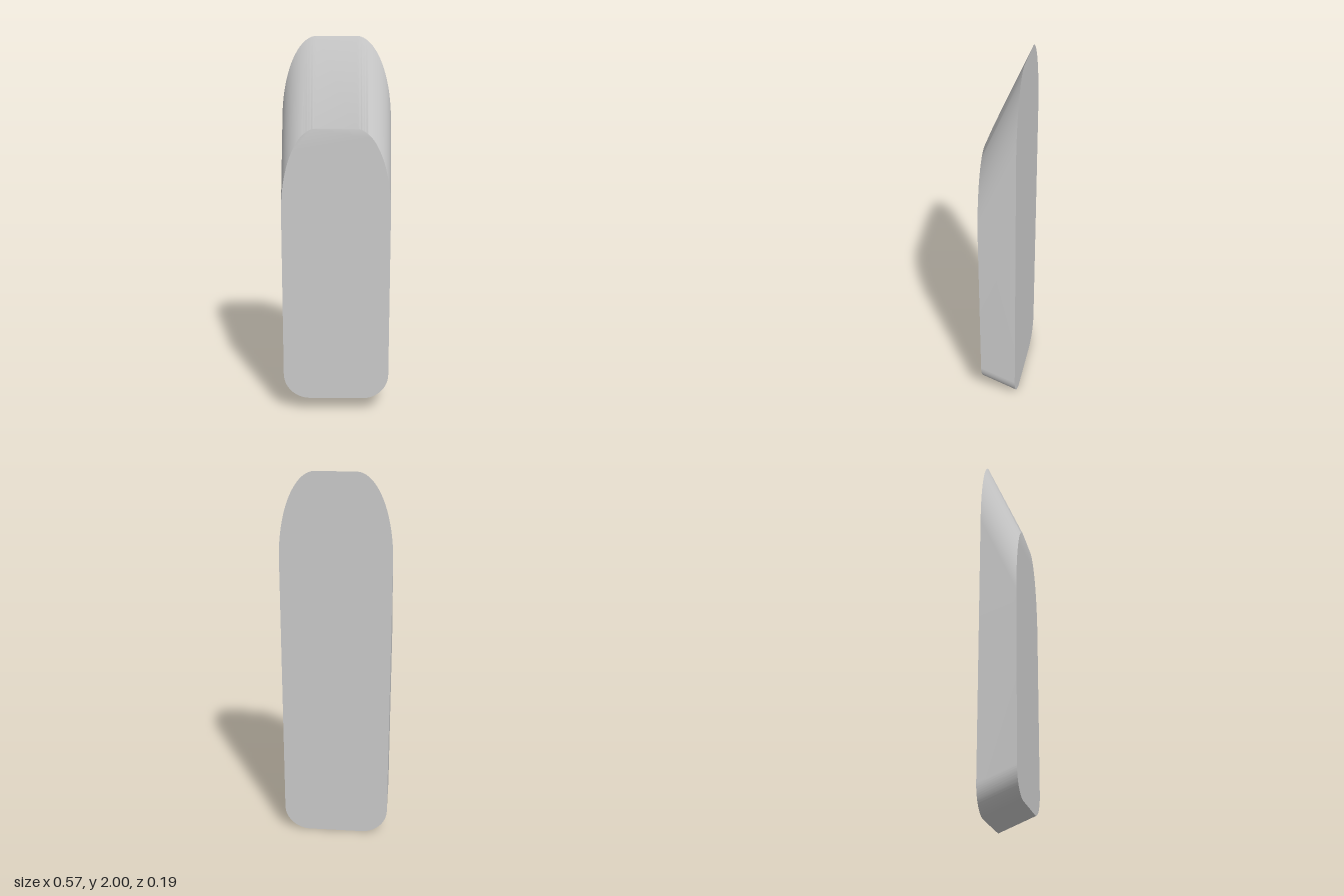
import * as THREE from 'three';
import { toCreasedNormals } from 'three/addons/utils/BufferGeometryUtils.js';

const HALF_W = 0.283, HALF_D = 0.096, HEIGHT = 2;
const TOP_FLAT = 0.1, TOP_CURVE = 0.44;   // tall elliptical shoulders
const BOTTOM_R = 0.14;                    // round lower corners
const TOP_DROP = 0.445, BOTTOM_RISE = 0.078; // slant of the ends towards the front

// Outline of the large back face
function outline() {
  const s = new THREE.Shape();
  const low = HALF_W - BOTTOM_R, shoulder = HEIGHT - TOP_CURVE, rx = HALF_W - TOP_FLAT;
  s.moveTo(-low, 0);
  s.lineTo(low, 0);
  s.absarc(low, BOTTOM_R, BOTTOM_R, -Math.PI / 2, 0);
  s.lineTo(HALF_W, shoulder);
  s.absellipse(TOP_FLAT, shoulder, rx, TOP_CURVE, 0, Math.PI / 2);
  s.lineTo(-TOP_FLAT, HEIGHT);
  s.absellipse(-TOP_FLAT, shoulder, rx, TOP_CURVE, Math.PI / 2, Math.PI);
  s.lineTo(-HALF_W, BOTTOM_R);
  s.absarc(-low, BOTTOM_R, BOTTOM_R, Math.PI, Math.PI * 1.5);
  return s;
}

export function createModel() {
  const geometry = new THREE.ExtrudeGeometry(outline(), {
    depth: 2 * HALF_D, bevelEnabled: false, curveSegments: 20,
  });
  geometry.translate(0, 0, -HALF_D);

  // Slide the ends of the front face inwards so the top and bottom slope
  const p = geometry.attributes.position;
  for (let i = 0; i < p.count; i++) {
    if (p.getZ(i) > 0) {
      const y = p.getY(i);
      p.setY(i, y > HEIGHT / 2 ? y - TOP_DROP : y + BOTTOM_RISE);
    }
  }

  const body = new THREE.Mesh(
    toCreasedNormals(geometry, Math.PI / 6),
    new THREE.MeshStandardMaterial({ color: 0xcccccc }),
  );
  body.name = 'slantedBlock';

  const group = new THREE.Group();
  group.name = 'model';
  group.add(body);
  return group;
}
